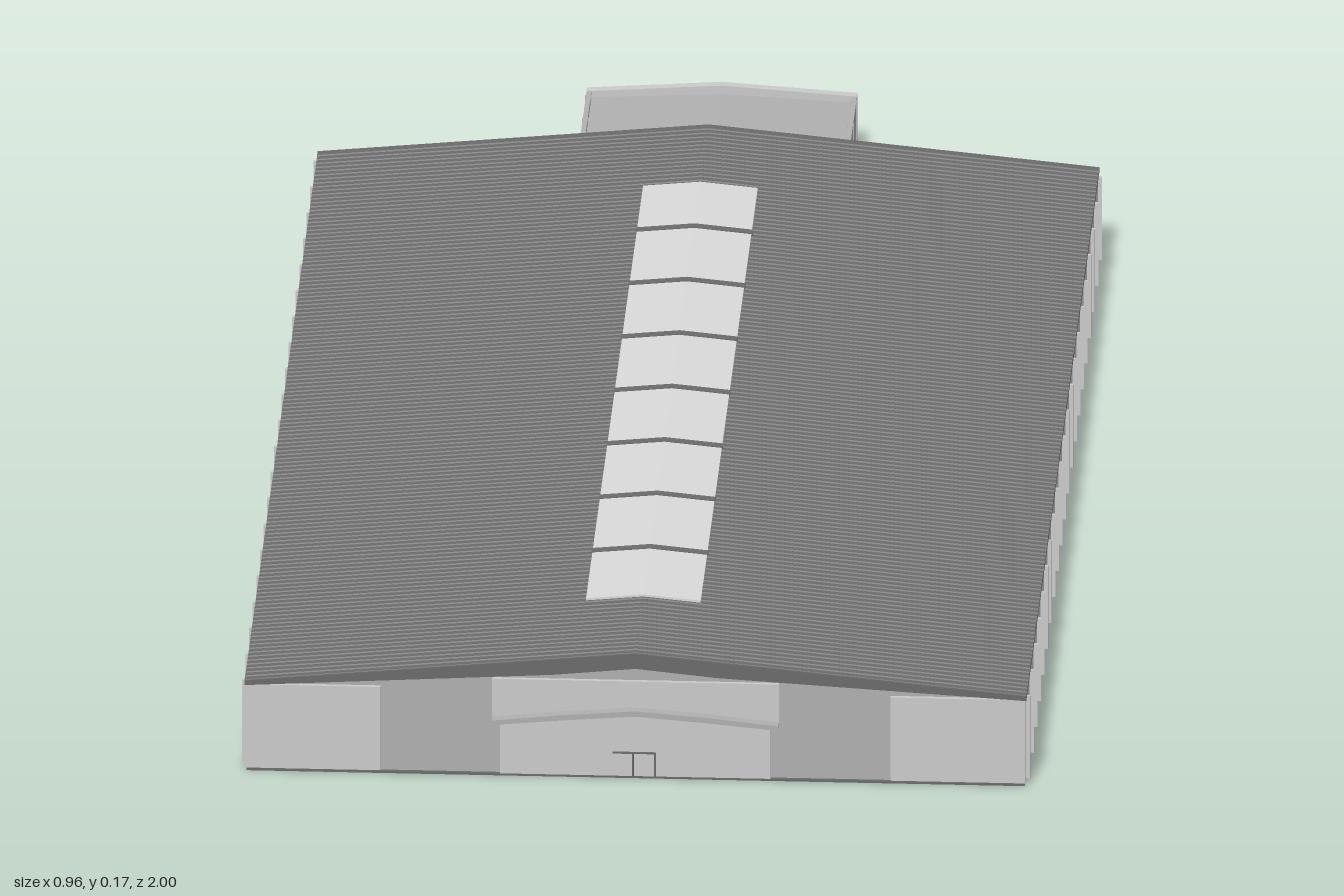
import * as THREE from 'three';

const mat = (name, color) => Object.assign(new THREE.MeshStandardMaterial({ color }), { name });

export function createModel() {
  const model = new THREE.Group();
  model.name = 'hall';
  const dark = mat('darkRoof', 0x6b6b6b);
  const mid = mat('midGreyWall', 0xb0b0b0);
  const light = mat('lightPanel', 0xcbcbcb);
  const glass = mat('skylightGlass', 0xdadada);

  const W = 0.477, Z0 = -0.684, Z1 = 0.986, EAVE = 0.119, RISE = 0.046;
  const slope = x => RISE * (1 - Math.abs(x) / W);

  const add = (name, geo, m, parent = model) => {
    const mesh = new THREE.Mesh(geo, m);
    mesh.name = name;
    parent.add(mesh);
    return mesh;
  };
  // Box given by its limits on each axis
  const box = (name, m, x0, x1, y0, y1, z0, z1) =>
    add(name, new THREE.BoxGeometry(x1 - x0, y1 - y0, z1 - z0)
      .translate((x0 + x1) / 2, (y0 + y1) / 2, (z0 + z1) / 2), m);
  // Outline in x and y, extruded from z0 to z1
  const slab = (name, m, pts, z0, z1) => {
    const shape = new THREE.Shape(pts.map(p => new THREE.Vector2(...p)));
    return add(name, new THREE.ExtrudeGeometry(shape, { depth: z1 - z0, bevelEnabled: false })
      .translate(0, 0, z0), m);
  };

  // Hall body and ground slab
  slab('hallWalls', mid, [[-0.472, 0.003], [0.472, 0.003], [0.472, 0.116], [0, 0.16], [-0.472, 0.116]], -0.676, 0.98);
  box('hallFloor', dark, -0.475, 0.475, 0, 0.003, -0.678, 0.984);
  box('annexFloor', dark, -0.163, 0.163, 0, 0.003, -0.995, -0.678);

  // Ribbed roof: rib profile along z, drawn across the hall, then lifted to a ridge
  const ribs = 134, pitch = (Z1 - Z0) / ribs;
  const prof = [[-Z1, EAVE - 0.005], [-Z0, EAVE - 0.005]];
  for (let i = 0; i < ribs; i++) {
    const s = -Z0 - i * pitch;
    prof.push([s, EAVE], [s - pitch * 0.65, EAVE], [s - pitch * 0.72, EAVE + 0.0015], [s - pitch * 0.93, EAVE + 0.0015]);
  }
  prof.push([-Z1, EAVE]);
  const roofGeo = new THREE.ExtrudeGeometry(
    new THREE.Shape(prof.map(p => new THREE.Vector2(...p))), { depth: 2 * W, steps: 2, bevelEnabled: false });
  roofGeo.translate(0, 0, -W).rotateY(Math.PI / 2);
  const pos = roofGeo.attributes.position;
  for (let i = 0; i < pos.count; i++) pos.setY(i, pos.getY(i) + slope(pos.getX(i)));
  roofGeo.computeVertexNormals();
  add('ribbedRoof', roofGeo, dark);

  // Gable fascias, deepest below the ridge
  const fascia = [[-W, 0.114], [-0.1, 0.136], [0, 0.146], [0.1, 0.136], [W, 0.114], [W, 0.12], [0, 0.166], [-W, 0.12]];
  slab('frontFascia', dark, fascia, 0.98, 0.988);
  slab('backFascia', dark, fascia, -0.686, -0.676);

  // Ridge skylight and its cross bars
  const cap = (w, y0, h) => [[-w, y0 + slope(w)], [0, y0 + RISE], [w, y0 + slope(w)],
    [w, y0 + slope(w) + h], [0, y0 + RISE + h], [-w, y0 + slope(w) + h]];
  slab('skylight', glass, cap(0.07, EAVE, 0.003), -0.5, 0.805);
  for (let i = 0; i < 7; i++) {
    const z = -0.36 + i * 0.169;
    slab('skylightBar', dark, cap(0.071, EAVE, 0.004), z - 0.006, z + 0.006);
  }

  // Long side cladding with slim mullions
  for (const s of [-1, 1]) {
    const side = (name, a, b, y0, y1, z0, z1) =>
      box(name, light, Math.min(s * a, s * b), Math.max(s * a, s * b), y0, y1, z0, z1);
    side('sideCladding', 0.471, 0.476, 0.003, 0.118, -0.678, 0.983);
    for (let i = 0; i <= 20; i++) {
      const z = -0.67 + i * 0.082;
      side('sideMullion', 0.476, 0.481, 0.005, 0.114, z - 0.002, z + 0.002);
    }
    // Corner panels on both gable walls
    const x0 = Math.min(s * 0.311, s * 0.472), x1 = Math.max(s * 0.311, s * 0.472);
    box('frontCornerPanel', light, x0, x1, 0.004, 0.114, 0.98, 0.985);
    box('backCornerPanel', light, x0, x1, 0.004, 0.114, -0.681, -0.676);
  }

  // Entrance front: upper window band, lower glazing, arched canopy and door frame
  box('frontUpperWindow', light, -0.175, 0.175, 0.076, 0.128, 0.98, 0.985);
  box('backUpperWindow', light, -0.175, 0.175, 0.076, 0.128, -0.681, -0.676);
  slab('entranceGlazing', light, [[-0.165, 0.004], [0.165, 0.004], [0.165, 0.073], [0, 0.087], [-0.165, 0.073]], 0.98, 0.987);
  slab('entranceCanopy', mid, [[-0.175, 0.072], [-0.09, 0.08], [0, 0.087], [0.09, 0.08], [0.175, 0.072],
    [0.175, 0.078], [0.09, 0.087], [0, 0.094], [-0.09, 0.087], [-0.175, 0.078]], 0.98, 0.998);
  for (const x of [-0.003, 0.024]) box('doorPost', dark, x - 0.001, x + 0.001, 0.004, 0.036, 0.987, 0.989);
  box('doorHead', dark, -0.028, 0.025, 0.034, 0.036, 0.987, 0.989);

  // Rear annex: body, side parapets with posts, raised back wall
  slab('annexBody', mid, [[-0.16, 0.003], [0.16, 0.003], [0.16, 0.072], [0, 0.08], [-0.16, 0.072]], -0.99, -0.676);
  for (const s of [-1, 1]) {
    const x = s * 0.162;
    box('annexSideWall', mid, x - 0.003, x + 0.003, 0.003, 0.08, -0.99, -0.678);
    for (let i = 0; i < 4; i++) {
      const z = -0.755 - i * 0.073;
      box('annexPost', mid, x - 0.004, x + 0.004, 0.003, 0.08, z - 0.002, z + 0.002);
    }
  }
  slab('annexBackWall', light, [[-0.165, 0.003], [0.165, 0.003], [0.165, 0.08], [0, 0.091], [-0.165, 0.08]], -1, -0.988);
  return model;
}
